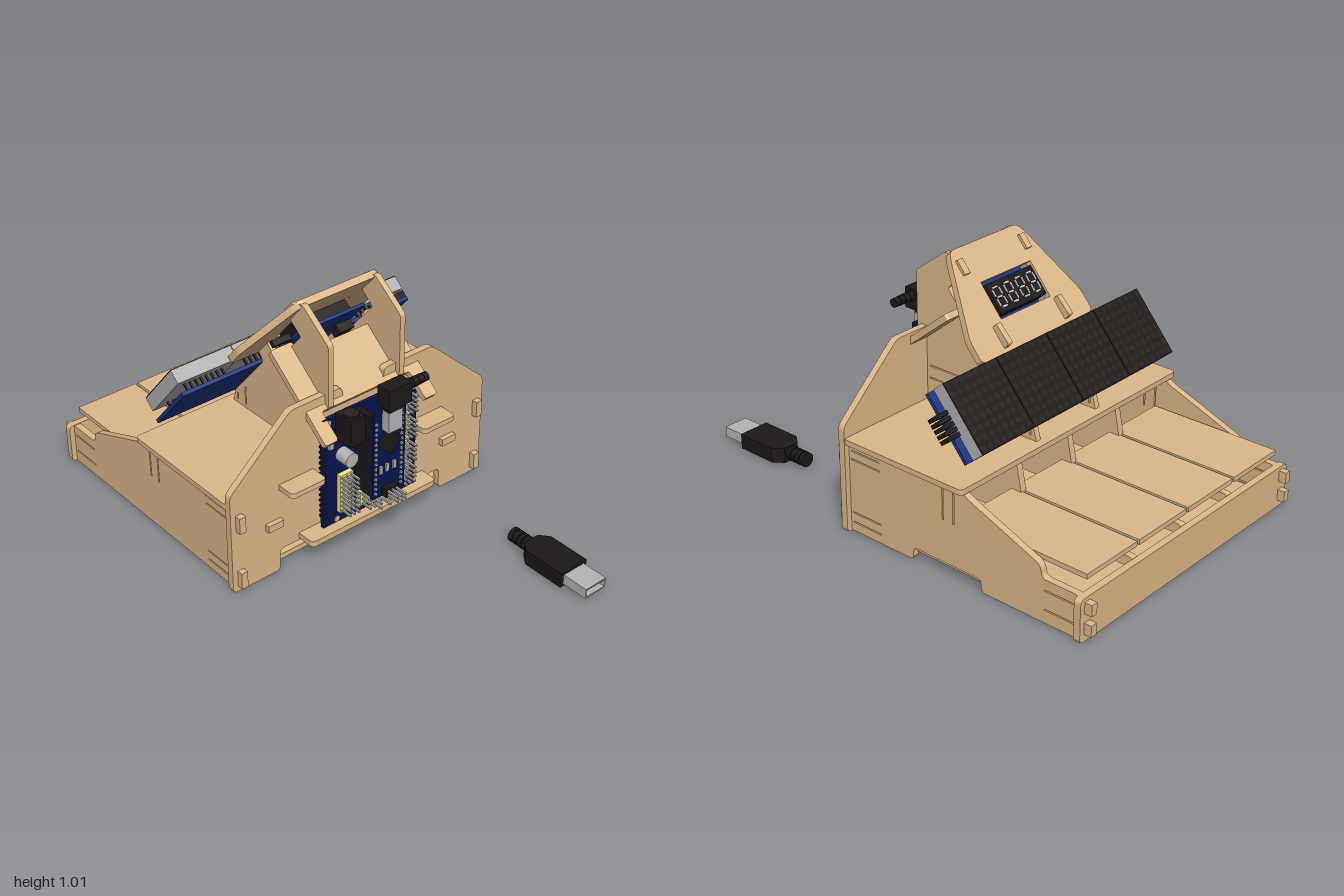
import * as THREE from 'three';
import { mergeGeometries } from 'three/addons/utils/BufferGeometryUtils.js';

const mat = (c) => new THREE.MeshStandardMaterial({ color: c });
const V = (x, y, z) => new THREE.Vector3(x, y, z);

export function createModel() {
  const root = new THREE.Group();
  const wood = mat(0xdcb888), navy = mat(0x081650), blue = mat(0x1a3484), black = mat(0x1e1919);
  const silver = mat(0xb4b4b4), yellow = mat(0xf0ec80), grey = mat(0xb0b0b0), dot = mat(0x2a201e), white = mat(0xe4e4e4);

  // local frame whose axes are u, v and u x v
  const frame = (name, o, u, v, parent = root) => {
    const g = new THREE.Group();
    g.name = name;
    g.position.copy(o);
    g.quaternion.setFromRotationMatrix(new THREE.Matrix4().makeBasis(u, v, u.clone().cross(v)));
    parent.add(g);
    return g;
  };
  const add = (parent, name, geo, m) => {
    const mesh = new THREE.Mesh(geo, m);
    mesh.name = name;
    parent.add(mesh);
    return mesh;
  };
  const boxGeo = (x0, x1, y0, y1, z0, z1) =>
    new THREE.BoxGeometry(x1 - x0, y1 - y0, z1 - z0).translate((x0 + x1) / 2, (y0 + y1) / 2, (z0 + z1) / 2);
  const box = (parent, name, m, ...b) => add(parent, name, boxGeo(...b), m);
  const boxes = (parent, name, m, list) => add(parent, name, mergeGeometries(list.map((b) => boxGeo(...b))), m);

  // laser-cut board: rounded outline with rectangular holes [x0, x1, y0, y1]
  const board = (parent, name, pts, depth, holes = [], r = 0.02) => {
    const s = new THREE.Shape(), n = pts.length;
    const toward = (a, b) => {
      const p = new THREE.Vector2(...a), q = new THREE.Vector2(...b), d = p.distanceTo(q);
      return p.lerp(q, Math.min(r, d * 0.45) / d);
    };
    pts.forEach((p, i) => {
      const a = toward(p, pts[(i + n - 1) % n]), b = toward(p, pts[(i + 1) % n]);
      i ? s.lineTo(a.x, a.y) : s.moveTo(a.x, a.y);
      s.quadraticCurveTo(p[0], p[1], b.x, b.y);
    });
    s.closePath();
    for (const [x0, x1, y0, y1] of holes)
      s.holes.push(new THREE.Path([[x0, y0], [x0, y1], [x1, y1], [x1, y0]].map((q) => new THREE.Vector2(...q))));
    return add(parent, name, new THREE.ExtrudeGeometry(s, { depth, bevelEnabled: false, curveSegments: 4 }), wood);
  };
  const mirror = (half) => [...half, ...half.map(([x, y]) => [-x, y]).reverse()];

  // side walls with thin spring slots; the right one has a cable notch
  const springs = [[-0.04, 0.1, 0.045, 0.05], [-0.04, 0.1, 0.085, 0.09], [-0.04, 0.1, 0.305, 0.31], [-0.04, 0.1, 0.34, 0.345],
    [-0.93, -0.8, 0.06, 0.065], [-0.93, -0.8, 0.135, 0.14], [-0.396, -0.39, 0.23, 0.36], [-0.346, -0.34, 0.23, 0.36]];
  const top = [[0.12, 0.375], [-0.43, 0.375], [-0.46, 0.355], [-0.78, 0.23], [-0.79, 0.18], [-0.95, 0.18], [-0.95, 0.01]];
  board(frame('leftSide', V(0, 0, 0.57), V(1, 0, 0), V(0, 1, 0)), 'leftWall', [...top, [0.12, 0.01]], 0.028, springs);
  board(frame('rightSide', V(0, 0, -0.598), V(1, 0, 0), V(0, 1, 0)), 'rightWall',
    [...top, [-0.52, 0.01], [-0.52, 0.06], [-0.2, 0.06], [-0.2, 0.01], [0.12, 0.01]], 0.028, springs);

  // floor, front lip and locking tabs
  box(root, 'floor', wood, -0.95, 0.12, 0.033, 0.055, -0.575, 0.575);
  board(frame('front', V(-0.97, 0, 0), V(0, 0, -1), V(0, 1, 0)), 'frontLip', mirror([[0.62, 0.01], [0.62, 0.18]]), 0.028);
  const tabs = [];
  for (const s of [-0.584, 0.584]) {
    for (const y of [0.04, 0.12]) tabs.push([-1, -0.94, y, y + 0.045, s - 0.014, s + 0.014]);
    for (const y of [0.03, 0.28]) tabs.push([0.1, 0.165, y, y + 0.07, s - 0.014, s + 0.014]);
  }
  for (const s of [-0.43, 0.43]) tabs.push([0.1, 0.16, 0.217, 0.247, s - 0.035, s + 0.035]);
  boxes(root, 'lockingTabs', wood, tabs);

  // four planks over upright dividers
  for (let i = 0; i < 4; i++) {
    const z = -0.57 + i * 0.285;
    box(root, 'plank', wood, -0.95, -0.4, 0.228, 0.248, z + 0.006, z + 0.279);
    if (i) board(frame('divider', V(0, 0, z - 0.014), V(1, 0, 0), V(0, 1, 0)), 'dividerBoard',
      [[-0.94, 0.14], [0.1, 0.14], [0.1, 0.37], [-0.42, 0.37], [-0.45, 0.226], [-0.78, 0.226], [-0.8, 0.18], [-0.94, 0.18]], 0.028);
  }

  // deck with two tabs through the back wall, lower rear shelf
  board(frame('deckFrame', V(0, 0.372, 0), V(1, 0, 0), V(0, 0, -1)), 'deck',
    [[-0.45, 0.62], [0.12, 0.62], [0.12, 0.4], [0.22, 0.4], [0.22, 0.24], [0.12, 0.24],
      [0.12, -0.24], [0.22, -0.24], [0.22, -0.4], [0.12, -0.4], [0.12, -0.62], [-0.45, -0.62]], 0.022);
  board(frame('shelfFrame', V(0, 0.108, 0), V(1, 0, 0), V(0, 0, -1)), 'rearShelf',
    [[0.05, 0.31], [0.22, 0.31], [0.22, -0.31], [0.05, -0.31]], 0.024);
  boxes(root, 'shelfClips', wood, [-0.14, 0.14].map((z) => [0.1, 0.17, 0.09, 0.11, z - 0.035, z + 0.035]));

  // back wall with an opening at the bottom
  board(frame('back', V(0.112, 0, 0), V(0, 0, -1), V(0, 1, 0)), 'backWall',
    mirror([[0.4, 0.1], [0.4, 0.005], [0.62, 0.005], [0.62, 0.44], [0.34, 0.69], [0.1, 0.69], [0.1, 0.65]]), 0.028);

  // two uprights carrying the sloping face, notched behind the digit display
  for (const z of [-0.17, 0.17])
    board(frame('upright', V(0, 0, z - 0.012), V(1, 0, 0), V(0, 1, 0)), 'uprightBoard',
      [[-0.42, 0.38], [0.12, 0.38], [0.12, 0.62], [0.16, 0.64], [0.16, 0.9], [0.02, 1.005], [-0.02, 1],
        [-0.055, 0.918], [0.006, 0.87], [-0.137, 0.703], [-0.192, 0.752], [-0.222, 0.798], [-0.283, 0.735],
        [-0.245, 0.69], [-0.22, 0.66], [-0.4, 0.45]], 0.024,
      [[-0.05, 0.1, 0.48, 0.485], [-0.05, 0.1, 0.53, 0.535], [-0.39, -0.384, 0.41, 0.44], [-0.34, -0.334, 0.41, 0.49]], 0.01);

  // sloping face: u = z, v = up the slope, n = outward
  const slope = frame('slopingFace', V(-0.26, 0.69, 0), V(0, 0, 1), V(0.65, 0.76, 0).normalize());
  board(slope, 'facePanel', mirror([[0.31, 0], [0.31, 0.09], [0.2, 0.38], [0.18, 0.412]]), 0.028, [[-0.125, 0.15, 0.115, 0.265]]).position.z = -0.01;
  boxes(slope, 'faceTabs', wood, [-0.17, 0.17].map((u) => [u - 0.014, u + 0.014, 0.31, 0.37, -0.01, 0.03]));

  // four-digit display set into the face
  box(slope, 'digitBoard', blue, -0.15, 0.16, 0.095, 0.285, -0.065, -0.052);
  box(slope, 'digitHousing', black, -0.11, 0.14, 0.13, 0.25, -0.052, 0.018);
  boxes(slope, 'digitConnectors', black, [[-0.14, -0.07, 0.12, 0.17, -0.1, -0.065], [0.16, 0.24, 0.2, 0.22, -0.06, -0.035]]);
  const seg = [];
  for (let d = 0; d < 4; d++) {
    const u = -0.078 + d * 0.062;
    for (const v of [0.152, 0.19, 0.228]) seg.push([u - 0.013, u + 0.013, v - 0.003, v + 0.003, 0.017, 0.021]);
    for (const v of [0.171, 0.209]) for (const s of [-0.018, 0.018])
      seg.push([u + s - 0.003, u + s + 0.003, v - 0.014, v + 0.014, 0.017, 0.021]);
  }
  boxes(slope, 'digitSegments', white, seg);

  // row of four dot-matrix modules
  const dots = [], pins = [];
  for (let m = 0; m < 4; m++) {
    const u0 = -0.55 + m * 0.273;
    box(slope, 'matrixBody', grey, u0, u0 + 0.27, -0.28, -0.003, 0, 0.055);
    box(slope, 'matrixFace', black, u0, u0 + 0.27, -0.28, -0.003, 0.055, 0.059);
    for (let i = 0; i < 64; i++)
      dots.push(new THREE.CircleGeometry(0.012, 10).translate(u0 + 0.016 + (i % 8) * 0.034, -0.263 + Math.floor(i / 8) * 0.035, 0.0605));
    for (let i = 0; i < 8; i++) for (const v of [-0.23, -0.05])
      pins.push([u0 + 0.05 + i * 0.024, u0 + 0.058 + i * 0.024, v - 0.004, v + 0.004, -0.035, 0]);
  }
  add(slope, 'matrixDots', mergeGeometries(dots), dot);
  boxes(slope, 'matrixPins', black, pins);
  box(slope, 'matrixBoard', blue, -0.55, 0.545, -0.28, -0.003, -0.05, -0.035);
  boxes(slope, 'matrixConnector', black, [0, 1, 2, 3, 4].map((i) => [-0.61, -0.54, -0.185 + i * 0.021, -0.17 + i * 0.021, -0.035, 0.01]));

  // brace between the face and the back wall, with two legs through the wall
  const brace = frame('brace', V(0.235, 0.545, 0), V(0, 0, -1), V(-0.78, 0.63, 0).normalize());
  board(brace, 'bracePlate', mirror([[0.15, 0.12], [0.21, 0.12], [0.21, 0], [0.27, 0], [0.27, 0.4], [0.17, 0.4], [0.17, 0.35]]), 0.025, [], 0.012);

  // controller board on the back: u = -z, v = y, n = +x
  const ctl = frame('controller', V(0.17, 0, 0), V(0, 0, -1), V(0, 1, 0));
  box(ctl, 'carrierBoard', navy, -0.23, 0.225, 0.14, 0.62, 0, 0.016);
  const bases = [], posts = [], sockets = [];
  const header = (u, v, cols, rows) => {
    const p = 0.021;
    bases.push([u, u + cols * p, v, v + rows * p, 0.016, 0.036]);
    for (let i = 0; i < cols * rows; i++) {
      const a = u + p * (0.5 + (i % cols)), b = v + p * (0.5 + Math.floor(i / cols));
      posts.push([a - 0.004, a + 0.004, b - 0.004, b + 0.004, 0.036, 0.085]);
    }
  };
  header(-0.165, 0.19, 3, 8);
  for (const v of [0.2, 0.3, 0.41, 0.52]) header(0.115, v, 3, 4);
  header(-0.065, 0.175, 2, 3);
  for (const u of [-0.01, 0.034]) header(u, 0.15, 1, 4);
  for (const u of [-0.215, 0.21]) for (let i = 0; i < 15; i++)
    sockets.push([u - 0.005, u + 0.005, 0.17 + i * 0.024, 0.18 + i * 0.024, -0.02, 0.019]);
  for (const u of [-0.062, 0.062]) {
    sockets.push([u - 0.013, u + 0.013, 0.26, 0.61, 0.016, 0.1]);
    for (let i = 0; i < 15; i++) posts.push([u - 0.005, u + 0.005, 0.27 + i * 0.022, 0.28 + i * 0.022, 0.1, 0.12]);
  }
  boxes(ctl, 'pinBases', yellow, bases);
  boxes(ctl, 'sockets', black, sockets);
  box(ctl, 'cpuBoard', navy, -0.075, 0.082, 0.25, 0.62, 0.1, 0.113);
  add(ctl, 'cpuChip', new THREE.BoxGeometry(0.075, 0.075, 0.012).rotateZ(Math.PI / 4).translate(0, 0.485, 0.119), black);
  boxes(ctl, 'smallParts', silver, [[-0.045, -0.03, 0.355, 0.39, 0.113, 0.12], [-0.015, 0, 0.355, 0.39, 0.113, 0.12],
    [0.02, 0.035, 0.355, 0.39, 0.113, 0.12], [-0.21, -0.19, 0.49, 0.515, 0.016, 0.03]]);
  box(ctl, 'programmingHeader', black, -0.03, 0.028, 0.255, 0.292, 0.113, 0.14);
  for (let i = 0; i < 6; i++) {
    const u = -0.02 + (i % 3) * 0.019, v = i < 3 ? 0.265 : 0.282;
    posts.push([u - 0.004, u + 0.004, v - 0.004, v + 0.004, 0.14, 0.195]);
  }
  boxes(ctl, 'pins', silver, posts);
  add(ctl, 'capacitor', new THREE.CylinderGeometry(0.03, 0.03, 0.06, 20).rotateX(Math.PI / 2).translate(-0.145, 0.445, 0.05), silver);
  box(ctl, 'powerJack', black, -0.17, -0.1, 0.52, 0.635, 0.016, 0.1);
  add(ctl, 'jackBarrel', new THREE.CylinderGeometry(0.03, 0.03, 0.01, 20).translate(-0.135, 0.637, 0.06), dot);
  for (const [u, v] of [[-0.165, 0.155], [0.075, 0.155], [-0.205, 0.6], [0.205, 0.59]])
    add(ctl, 'mountingHole', new THREE.CylinderGeometry(0.012, 0.012, 0.003, 16).rotateX(Math.PI / 2).translate(u, v, 0.017), wood);
  box(ctl, 'cableSocket', silver, -0.033, 0.033, 0.55, 0.635, 0.113, 0.15);

  // angled cable plug
  boxes(ctl, 'anglePlug', black, [[-0.03, 0.03, 0.635, 0.67, 0.115, 0.15], [-0.05, 0.06, 0.66, 0.745, 0.105, 0.168]]);
  for (let i = 0; i < 4; i++)
    add(ctl, 'anglePlugRelief', new THREE.CylinderGeometry(0.021 - i * 0.001, 0.021 - i * 0.001, 0.021, 16)
      .rotateZ(Math.PI / 2).translate(0.07 + i * 0.025, 0.715, 0.137), black);
  add(ctl, 'anglePlugCore', new THREE.CylinderGeometry(0.016, 0.016, 0.1, 12).rotateZ(Math.PI / 2).translate(0.1, 0.715, 0.137), black);

  // loose plug at the far end of the cable
  const plug = new THREE.Group();
  plug.name = 'loosePlug';
  plug.position.set(0, 0.042, -0.382);
  root.add(plug);
  const body = new THREE.Shape([[0.67, -0.035], [0.71, -0.067], [0.89, -0.067], [0.89, 0.067], [0.71, 0.067], [0.67, 0.035]]
    .map((p) => new THREE.Vector2(...p)));
  add(plug, 'plugBody', new THREE.ExtrudeGeometry(body, { depth: 0.064, bevelEnabled: false }).translate(0, 0, -0.032).rotateX(-Math.PI / 2), black);
  boxes(plug, 'plugShell', silver, [[0.88, 1, 0.016, 0.021, -0.053, 0.053], [0.88, 1, -0.021, -0.016, -0.053, 0.053],
    [0.88, 1, -0.016, 0.016, -0.053, -0.048], [0.88, 1, -0.016, 0.016, 0.048, 0.053]]);
  box(plug, 'plugTongue', white, 0.88, 0.99, 0, 0.014, -0.045, 0.045);
  for (let i = 0; i < 4; i++)
    add(plug, 'plugRelief', new THREE.CylinderGeometry(0.03, 0.03, 0.017, 16).rotateZ(Math.PI / 2).translate(0.586 + i * 0.024, 0, 0), black);
  add(plug, 'plugCore', new THREE.CylinderGeometry(0.02, 0.02, 0.09, 16).rotateZ(Math.PI / 2).translate(0.625, 0, 0), black);

  return root;
}
